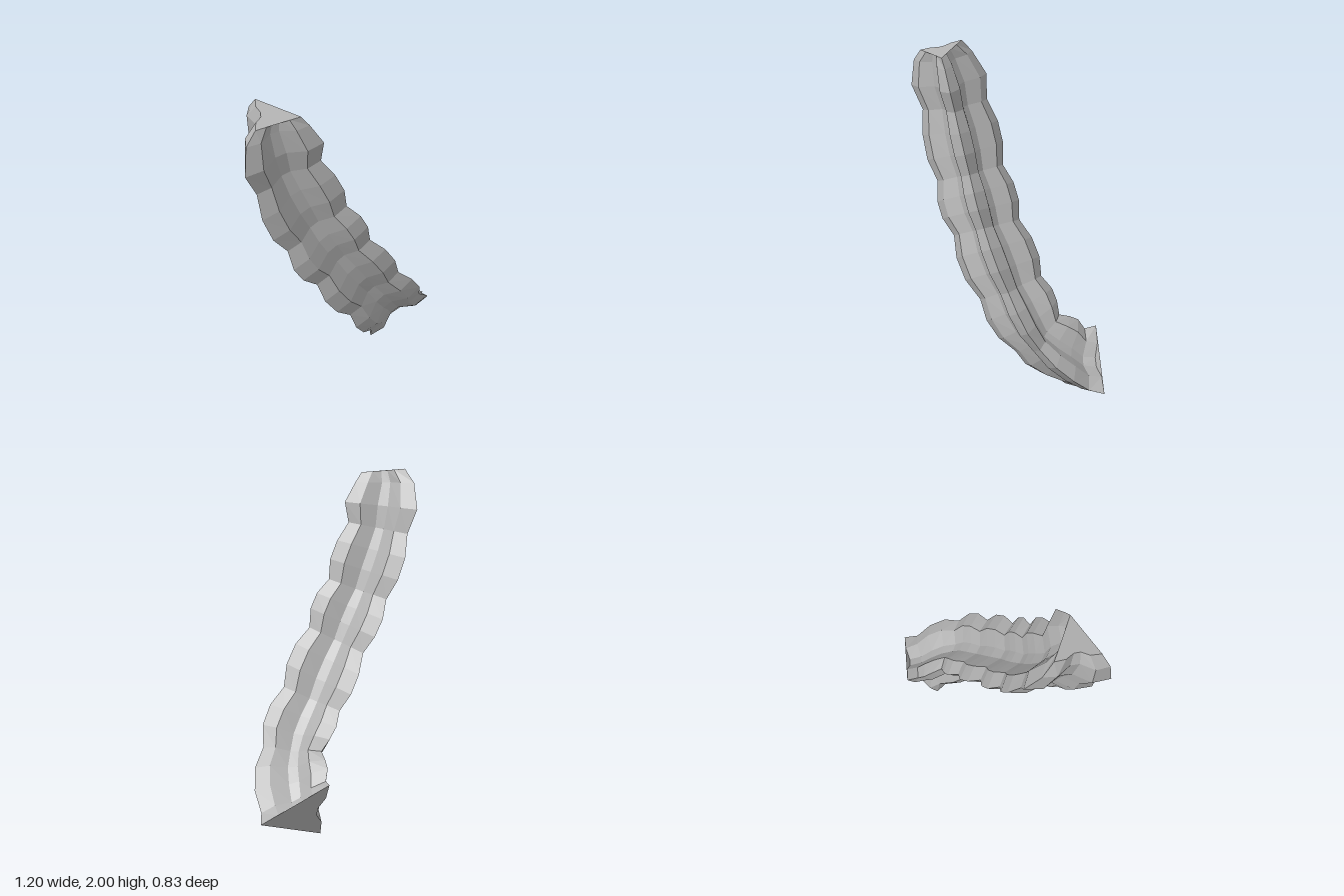
import * as THREE from 'three';

const grey = new THREE.MeshStandardMaterial({ color: 0xb2b2b2, side: THREE.DoubleSide });
grey.name = 'stone grey';

const vectors = pts => pts.map(p => new THREE.Vector3(...p));
const curve = pts => new THREE.CatmullRomCurve3(vectors(pts), false, 'catmullrom');

// Three lobe ridges, top to bottom, passing through the narrow waists
const ridges = [
  curve([[-.56, 2.07, .075], [-.445, 1.65, .01], [-.295, 1.29, -.03], [-.13, 1.0, -.07],
    [.05, .7, -.14], [.19, .5, -.2], [.23, .39, -.35]]),
  curve([[-.25, 2.03, .335], [-.2, 1.69, .28], [-.06, 1.37, .25], [.08, 1.1, .22],
    [.275, .78, .15], [.455, .48, .03], [.57, .21, -.23]]),
  curve([[-.62, 2.03, .435], [-.545, 1.6, .37], [-.4, 1.2, .34], [-.24, .91, .3],
    [-.03, .57, .215], [.145, .275, .06], [.225, .07, -.18]]),
];
const topEnd = vectors([[-.49, 2.0, .14], [-.3, 1.97, .315], [-.53, 1.957, .37]]);
const lowerEnd = vectors([[.24, .4, -.42], [.603, .185, -.312], [.218, .003, -.24]]);

// Cross-section: blunt lobes with a groove between them, sharper at the two ends
function section(corners, scale, shoulder) {
  // [position along side, pull towards the centre]
  const groove = [[0, 0], [.24, shoulder], [.39, .36], [.61, .36], [.76, shoulder]];
  const centre = new THREE.Vector3();
  corners.forEach(c => centre.addScaledVector(c, 1 / 3));
  const tips = corners.map(c => c.clone().sub(centre).multiplyScalar(scale).add(centre));
  return tips.flatMap((tip, k) => groove.map(([t, pull]) =>
    tip.clone().lerp(tips[(k + 1) % 3], t).lerp(centre, pull)));
}

// Swells by ring: a waist followed by two wide rings, tapering under the top
function swell(i) {
  if (i === 1) return .9;
  return i % 3 ? 1.17 : 1;
}

function facetedMesh(name, points) {
  const geometry = new THREE.BufferGeometry().setFromPoints(points);
  geometry.computeVertexNormals();
  const mesh = new THREE.Mesh(geometry, grey);
  mesh.name = name;
  return mesh;
}

// End face fanned from the second ridge
function fan(ring, flip) {
  const n = ring.length, s = n / 3, tris = [];
  for (let k = 1; k < n - 1; k++) {
    const a = ring[(s + k) % n], b = ring[(s + k + 1) % n];
    tris.push(ring[s], ...(flip ? [a, b] : [b, a]));
  }
  return tris;
}

export function createModel() {
  const group = new THREE.Group();
  group.name = 'rippledThreeLobedColumn';

  const rings = [section(topEnd, 1, .04)];
  for (let i = 1; i <= 18; i++) rings.push(section(ridges.map(r => r.getPoint(i / 18)), swell(i), -.07));
  rings.push(section(lowerEnd, 1, .05));

  // Rippled body
  const tris = [];
  for (let i = 0; i < rings.length - 1; i++) {
    const up = rings[i], down = rings[i + 1], n = up.length;
    for (let j = 0; j < n; j++) {
      const k = (j + 1) % n;
      tris.push(up[j], up[k], down[j], up[k], down[k], down[j]);
    }
  }
  group.add(facetedMesh('body', tris));

  // End faces
  group.add(facetedMesh('topFace', fan(rings[0], false)));
  group.add(facetedMesh('lowerFace', fan(rings[rings.length - 1], true)));
  return group;
}
